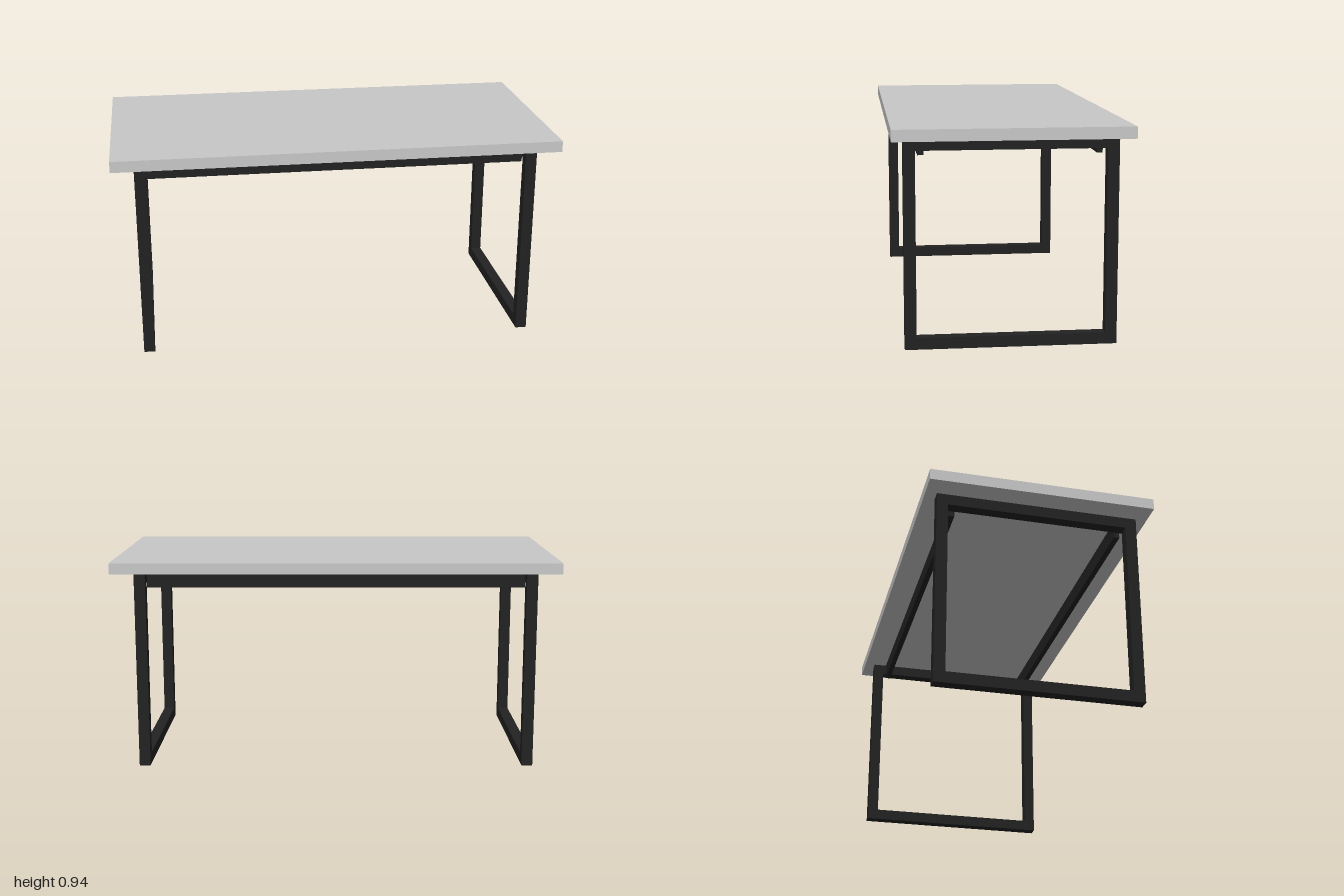
import * as THREE from 'three';

export function createModel() {
  const table = new THREE.Group();
  table.name = 'table';

  const topGrey = new THREE.MeshStandardMaterial({ color: 0xc8c8c8 });
  topGrey.name = 'light grey';
  const frameBlack = new THREE.MeshStandardMaterial({ color: 0x222222 });
  frameBlack.name = 'frame black';

  const add = (name, geometry, material, x, y, z) => {
    const mesh = new THREE.Mesh(geometry, material);
    mesh.name = name;
    mesh.position.set(x, y, z);
    table.add(mesh);
    return mesh;
  };

  const frameHeight = 0.89;
  const bar = 0.05;
  const halfDepth = 0.45;

  // Table top
  add('tableTop', new THREE.BoxGeometry(2, 0.05, 1), topGrey, 0, frameHeight + 0.025, 0);

  // Closed rectangular leg loop, drawn in the z-y plane and extruded along x
  const outline = (inset, Path) => {
    const w = halfDepth - inset;
    return new Path([
      new THREE.Vector2(-w, inset),
      new THREE.Vector2(w, inset),
      new THREE.Vector2(w, frameHeight - inset),
      new THREE.Vector2(-w, frameHeight - inset),
    ]);
  };
  const legShape = outline(0, THREE.Shape);
  legShape.holes.push(outline(bar, THREE.Path));
  const legGeometry = new THREE.ExtrudeGeometry(legShape, { depth: bar, bevelEnabled: false });
  legGeometry.translate(0, 0, -bar / 2);
  legGeometry.rotateY(Math.PI / 2);
  add('leftLegFrame', legGeometry, frameBlack, 0.875, 0, 0);
  add('rightLegFrame', legGeometry, frameBlack, -0.875, 0, 0);

  // Long rails under the top, joining the leg frames
  const railGeometry = new THREE.BoxGeometry(1.7, 0.075, 0.025);
  add('frontRail', railGeometry, frameBlack, 0, frameHeight - 0.0375, 0.375);
  add('backRail', railGeometry, frameBlack, 0, frameHeight - 0.0375, -0.375);

  return table;
}
